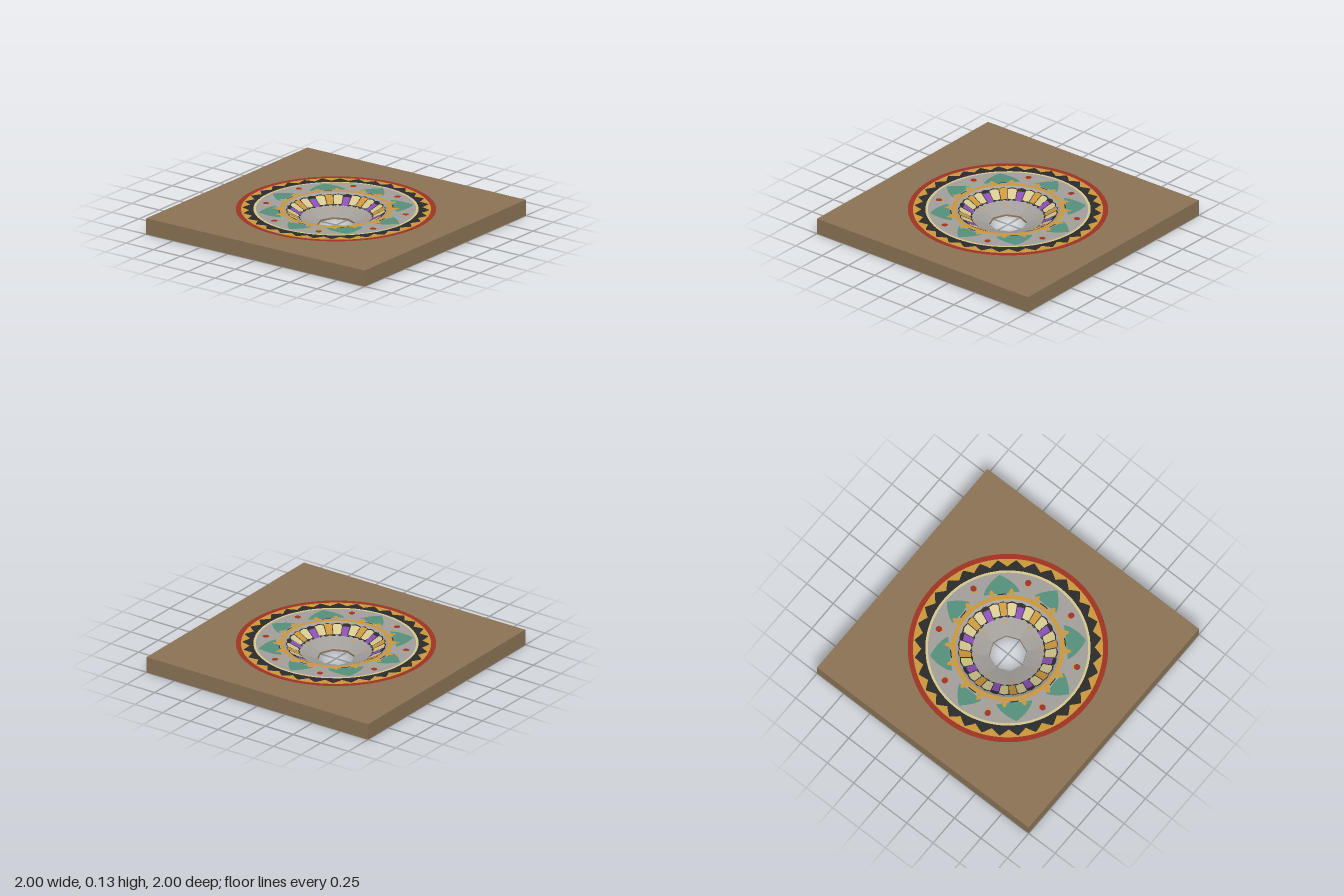
import * as THREE from 'three';
import { mergeGeometries } from 'three/addons/utils/BufferGeometryUtils.js';

const TOP = 0.124, HOLE = 0.14, KNEE = 0.26, RIM = 0.385;
const DEG = Math.PI / 180;

// Height of the dished surface at a radius
function height(r) {
  if (r >= RIM) return TOP;
  if (r >= KNEE) return TOP - 0.068 * (RIM - r) / (RIM - KNEE);
  return TOP - 0.068 - 0.044 * (KNEE - r) / (KNEE - HOLE);
}

// Point on the dish: round at the rim, turning octagonal at the hole
function point(r, a, lift) {
  const q = Math.PI / 4;
  const m = ((a % q) + q) % q;
  const oct = Math.cos(q / 2) / Math.cos(m - q / 2);
  const t = THREE.MathUtils.clamp((KNEE - r) / (KNEE - HOLE), 0, 1);
  const s = r * (1 + (oct - 1) * t);
  return [s * Math.sin(a), height(r) + lift, s * Math.cos(a)];
}

// Patch lying on the dish; lo and hi give its radii for t from -1 to 1
function patch(centre, half, lo, hi, lift, nA, nR = 1) {
  const pos = [], idx = [];
  for (let i = 0; i <= nA; i++) {
    const t = -1 + 2 * i / nA;
    for (let j = 0; j <= nR; j++) {
      const r = lo(t) + (hi(t) - lo(t)) * j / nR;
      pos.push(...point(r, centre + half * t, lift));
      if (i < nA && j < nR) {
        const k = i * (nR + 1) + j, n = k + nR + 1;
        idx.push(k, k + 1, n, k + 1, n + 1, n);
      }
    }
  }
  const g = new THREE.BufferGeometry();
  g.setAttribute('position', new THREE.Float32BufferAttribute(pos, 3));
  g.setIndex(idx);
  g.computeVertexNormals();
  return g;
}

const ring = (r0, r1, lift, nR = 1) => patch(0, Math.PI, () => r0, () => r1, lift, 128, nR);

// Same patch repeated at several angles (degrees)
const repeat = (angles, half, lo, hi, lift, nA, nR) =>
  mergeGeometries(angles.map(a => patch(a * DEG, half * DEG, lo, hi, lift, nA, nR)));

const steps = (n, start = 0) => Array.from({ length: n }, (_, i) => start + i * 360 / n);

export function createModel() {
  const group = new THREE.Group();
  const mat = (name, color) => {
    const m = new THREE.MeshStandardMaterial({ color });
    m.name = name;
    return m;
  };
  const wood = mat('brown wood', 0x8b7355);
  const grey = mat('grey glaze', 0xa39f9b);
  const red = mat('red paint', 0xa03222);
  const gold = mat('gold paint', 0xcb973c);
  const dark = mat('dark paint', 0x2b2b2b);
  const cream = mat('cream paint', 0xd6c88e);
  const teal = mat('teal paint', 0x56917c);
  const purple = mat('purple paint', 0x8a4fb5);
  const add = (name, geometry, material) => {
    const m = new THREE.Mesh(geometry, material);
    m.name = name;
    group.add(m);
    return m;
  };

  // Square slab: top and bottom faces with holes, and four sides
  const square = (r, sides) => {
    const s = new THREE.Shape([[-1, -1], [1, -1], [1, 1], [-1, 1]].map(p => new THREE.Vector2(...p)));
    s.holes.push(new THREE.Path(Array.from({ length: sides }, (_, i) => {
      const a = -i * 2 * Math.PI / sides;
      return new THREE.Vector2(r * Math.cos(a), r * Math.sin(a));
    })));
    return new THREE.ShapeGeometry(s);
  };
  add('slabTop', square(0.42, 64).rotateX(-Math.PI / 2).translate(0, TOP, 0), wood);
  add('slabBottom', square(0.137, 8).rotateX(Math.PI / 2), wood);
  const sides = new THREE.CylinderGeometry(Math.SQRT2, Math.SQRT2, TOP, 4, 1, true)
    .rotateY(Math.PI / 4).translate(0, TOP / 2, 0).toNonIndexed();
  sides.computeVertexNormals();
  add('slabSides', sides, wood);

  // Octagonal collar of the centre hole
  const collarWood = wood.clone();
  collarWood.side = THREE.DoubleSide;
  const lip = height(HOLE) + 0.001;
  const collar = new THREE.CylinderGeometry(HOLE, 0.137, lip, 8, 1, true).translate(0, lip / 2, 0);
  add('holeCollar', collar, collarWood);

  // Glazed dish
  add('bowlFloor', ring(HOLE, KNEE, 0.001, 6), grey);
  add('bowlWall', ring(KNEE, RIM, 0.001, 4), grey);
  add('dishRim', ring(RIM, 0.595, 0.001), grey);

  // Outer border rings and zigzag
  add('redBorder', ring(0.7, 0.738, 0.001), red);
  add('goldBorder', ring(0.61, 0.7, 0.001), gold);
  add('zigzagBand', ring(0.608, 0.638, 0.003), dark);
  add('zigzagTeeth', repeat(steps(32), 5.6, () => 0.637,
    t => 0.638 + 0.052 * (1 - Math.abs(t)), 0.003, 6), dark);
  add('creamRing', ring(0.59, 0.609, 0.003), cream);
  add('goldRing', ring(RIM, 0.417, 0.003), gold);
  add('goldRingOutline', repeat(steps(8), 4.5, () => 0.419, () => 0.427, 0.003, 4), dark);

  // Leaves: narrow on the axes, broad on the diagonals
  const leafTop = t => 0.455 + 0.122 * Math.pow(1 - Math.abs(t), 0.85);
  add('axisLeaves', repeat(steps(4), 13, t => 0.432 + 0.02 * Math.abs(t), leafTop, 0.003, 16), teal);
  add('cornerLeaves', repeat(steps(4, 45), 17, t => 0.425 + 0.02 * Math.abs(t), leafTop, 0.003, 16), teal);
  const flecks = steps(8).flatMap(a => [a - 9.5, a + 9.5]);
  add('goldFlecks', repeat(flecks, 3, () => 0.421,
    t => 0.422 + 0.046 * (1 - t * t), 0.005, 8), gold);

  // Red berries on gold stems
  const odd = steps(8, 22.5);
  const arc = t => 0.024 * Math.sqrt(Math.max(0, 1 - t * t));
  add('berries', repeat(odd, 2.5, t => 0.53 - arc(t), t => 0.53 + arc(t), 0.003, 12), red);
  add('berryStems', repeat(odd, 1.6, t => 0.488 + 0.008 * Math.abs(t), () => 0.507, 0.003, 4), gold);

  // Tiles around the bowl wall, on dark grout
  add('grout', repeat(steps(32), 5.4, t => 0.272 - 0.01 * Math.abs(t),
    t => 0.362 + 0.008 * (1 - Math.abs(t)), 0.002, 4, 2), dark);
  add('goldTiles', repeat(steps(8), 4.5, () => 0.275, () => 0.362, 0.0035, 4, 2), gold);
  add('creamTiles', repeat(steps(16, 11.25), 5.4, t => 0.274 + 0.006 * t * t,
    t => 0.36 - 0.008 * t * t, 0.0035, 6, 2), cream);
  add('purpleTiles', repeat(odd, 4.5, () => 0.263, () => 0.34, 0.004, 4, 2), purple);
  add('goldSpecks', repeat(steps(8), 2.2, () => 0.229, () => 0.242, 0.003, 2), gold);

  return group;
}
